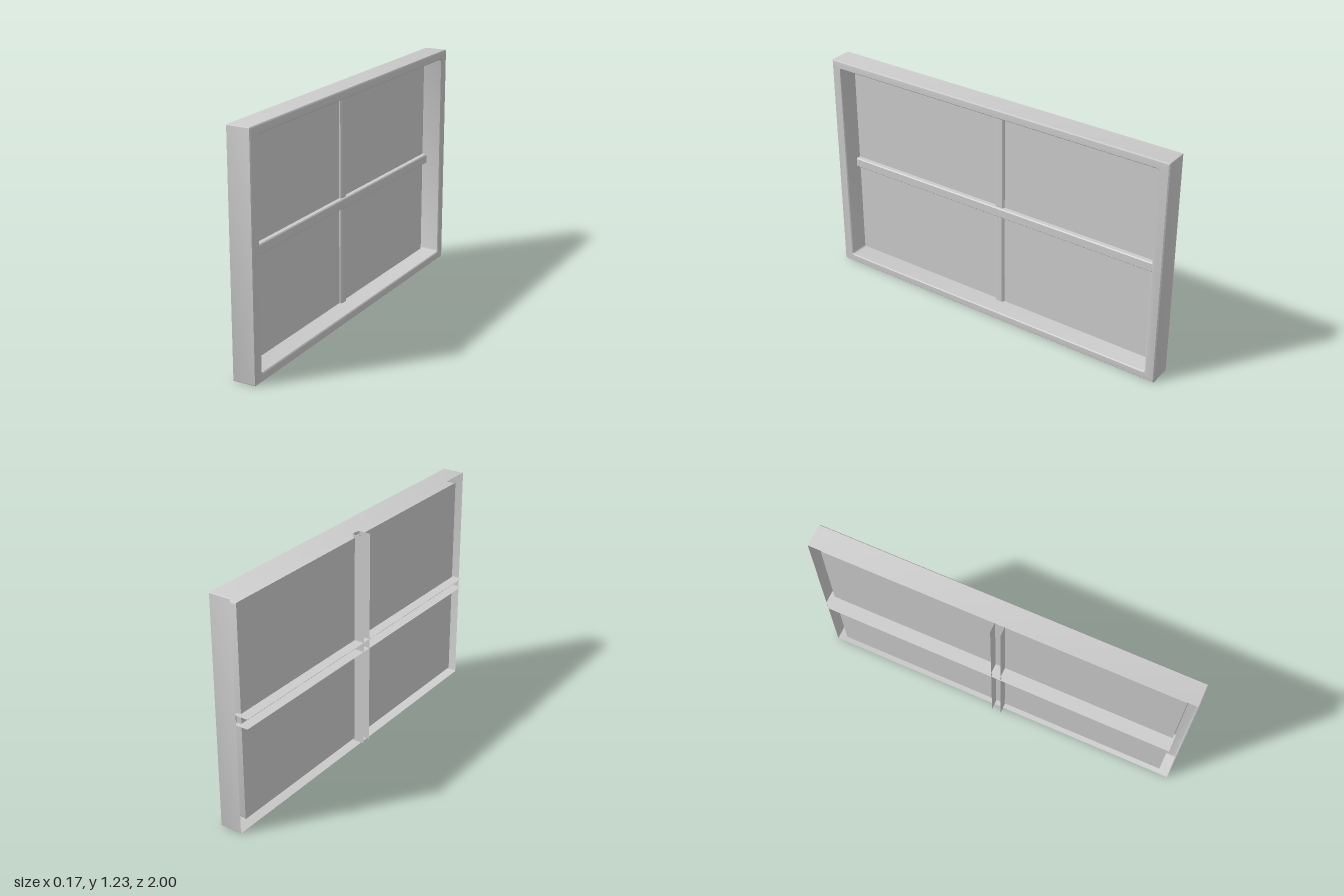
import * as THREE from 'three';
import { toCreasedNormals } from 'three/addons/utils/BufferGeometryUtils.js';

const material = new THREE.MeshStandardMaterial({ color: 0xcccccc, side: THREE.DoubleSide });
const HEIGHT = 1.228, MID_Y = HEIGHT / 2;
const FRONT = 0.083, BACK = -0.083, RIM_BACK = -0.041, PANE_X = -0.027;

// Skins a list of cross-sections with equal point counts
function loft(sections, closed) {
  const n = sections[0].length, pos = [], index = [];
  sections.forEach(s => s.forEach(p => pos.push(...p)));
  for (let i = 0; i < sections.length - 1; i++) {
    for (let j = 0; j < (closed ? n : n - 1); j++) {
      const k = (j + 1) % n;
      const a = i * n + j, b = i * n + k, c = a + n, d = b + n;
      index.push(a, c, b, b, c, d);
    }
  }
  const g = new THREE.BufferGeometry();
  g.setAttribute('position', new THREE.Float32BufferAttribute(pos, 3));
  g.setIndex(index);
  return toCreasedNormals(g, 0.65);
}

// Rounded rectangle in the y-z plane at the given x
function rectSection(x, halfZ, halfY, r) {
  const pts = [];
  [[1, 1], [-1, 1], [-1, -1], [1, -1]].forEach(([sz, sy], q) => {
    for (let k = 0; k <= 3; k++) {
      const t = (q + k / 3) * Math.PI / 2;
      pts.push([x, MID_Y + sy * (halfY - r) + r * Math.sin(t), sz * (halfZ - r) + r * Math.cos(t)]);
    }
  });
  return pts;
}

// Open channel profile as [x, offset] pairs, chamfered at its front
function channelProfile(front, w, bevel) {
  return [[BACK, -w], [front - bevel, -w], [front, -w + bevel],
    [front, w - bevel], [front - bevel, w], [BACK, w]];
}

export function createModel() {
  const group = new THREE.Group();
  const add = (name, geometry) => {
    const mesh = new THREE.Mesh(geometry, material);
    mesh.name = name;
    group.add(mesh);
    return mesh;
  };

  // Frame shell: outer wall, bevelled front lip, inner wall; open at the back
  const oz = 1, oy = MID_Y, iz = 0.945, iy = 0.569, b = 0.005;
  add('frame', loft([
    rectSection(RIM_BACK, oz, oy, 0.004),
    rectSection(FRONT - b, oz, oy, 0.004),
    rectSection(FRONT, oz - b, oy - b, 0.004),
    rectSection(FRONT, iz + b, iy + b, 0.015),
    rectSection(FRONT - b, iz, iy, 0.012),
    rectSection(PANE_X, iz, iy, 0.012),
  ], true));

  // Pane closing the inner wall
  const pane = add('pane', new THREE.PlaneGeometry(2 * iz, 2 * iy).rotateY(Math.PI / 2));
  pane.position.set(PANE_X, MID_Y, 0);

  // Crossing glazing bars, hollow and open at the back
  const barY = 0.597;
  const horizontal = channelProfile(0.0, 0.026, 0.005);
  add('horizontalBar', loft([0.955, -0.97].map(z => horizontal.map(([x, o]) => [x, barY + o, z])), false));
  const vertical = channelProfile(-0.012, 0.026, 0.008);
  add('verticalBar', loft([0.03, 1.2].map(y => vertical.map(([x, o]) => [x, y, o])), false));

  return group;
}
